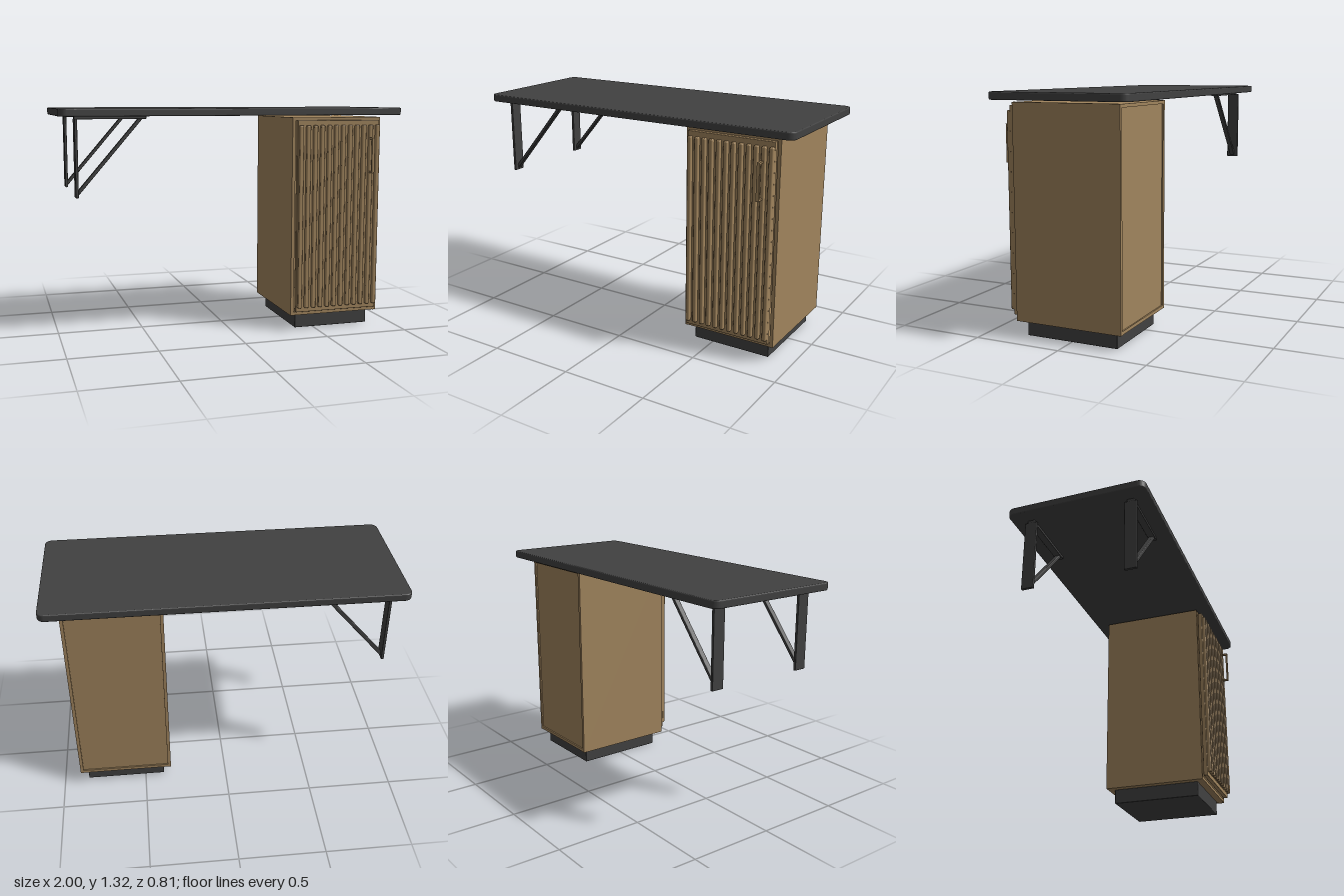
import * as THREE from 'three';
import { RoundedBoxGeometry } from 'three/addons/geometries/RoundedBoxGeometry.js';

export function createModel() {
  const desk = new THREE.Group();
  desk.name = 'desk';
  const dark = new THREE.MeshStandardMaterial({ color: 0x414141 });
  dark.name = 'charcoal';
  const wood = new THREE.MeshStandardMaterial({ color: 0xa0845d });
  wood.name = 'oak';

  const add = (parent, name, geometry, material) => {
    const mesh = new THREE.Mesh(geometry, material);
    mesh.name = name;
    parent.add(mesh);
    return mesh;
  };
  // Box given by its extents along each axis, optionally with rounded edges
  const block = (parent, name, material, [x0, x1], [y0, y1], [z0, z1], radius = 0) => {
    const size = [x1 - x0, y1 - y0, z1 - z0];
    const geometry = radius
      ? new RoundedBoxGeometry(...size, 2, radius)
      : new THREE.BoxGeometry(...size);
    const mesh = add(parent, name, geometry, material);
    mesh.position.set((x0 + x1) / 2, (y0 + y1) / 2, (z0 + z1) / 2);
    return mesh;
  };

  // Tabletop: rounded corners and softened edges
  const bevel = 0.006, w = 1 - bevel, d = 0.403 - bevel, r = 0.035;
  const outline = new THREE.Shape();
  outline.moveTo(-w + r, -d);
  outline.absarc(w - r, -d + r, r, -Math.PI / 2, 0);
  outline.absarc(w - r, d - r, r, 0, Math.PI / 2);
  outline.absarc(-w + r, d - r, r, Math.PI / 2, Math.PI);
  outline.absarc(-w + r, -d + r, r, Math.PI, Math.PI * 1.5);
  const topGeometry = new THREE.ExtrudeGeometry(outline, {
    depth: 0.042 - 2 * bevel, bevelEnabled: true, bevelSize: bevel,
    bevelThickness: bevel, bevelSegments: 3, curveSegments: 8,
  });
  topGeometry.rotateX(-Math.PI / 2);
  add(desk, 'tabletop', topGeometry, dark).position.y = 1.278 + bevel;

  // Cabinet carcass with a recessed back panel, on a set-back plinth
  const cabinet = new THREE.Group();
  cabinet.name = 'cabinet';
  desk.add(cabinet);
  const depth = [-0.312, 0.314];
  block(cabinet, 'plinth', dark, [0.385, 0.853], [0, 0.09], [-0.27, 0.272], 0.004);
  block(cabinet, 'sidePanelRight', wood, [0.341, 0.36], [0.088, 1.265], depth);
  block(cabinet, 'sidePanelLeft', wood, [0.877, 0.896], [0.088, 1.265], depth);
  block(cabinet, 'topPanel', wood, [0.36, 0.877], [1.246, 1.264], depth);
  block(cabinet, 'bottomPanel', wood, [0.36, 0.877], [0.089, 0.108], depth);
  block(cabinet, 'backPanel', wood, [0.36, 0.877], [0.108, 1.246], [-0.304, -0.29]);

  // Fluted door
  const door = new THREE.Group();
  door.name = 'door';
  cabinet.add(door);
  block(door, 'doorPanel', wood, [0.362, 0.875], [0.114, 1.248], [0.317, 0.343], 0.003);
  for (let i = 0; i < 12; i++) {
    const x = 0.381 + i * 0.0437;
    block(door, 'slat', wood, [x - 0.0125, x + 0.0125], [0.14, 1.22], [0.335, 0.364], 0.007);
  }

  // Door handle: upright grip on two short posts
  const handle = new THREE.Group();
  handle.name = 'handle';
  door.add(handle);
  const grip = [0.805, 0.821];
  block(handle, 'handleGrip', wood, grip, [0.938, 1.146], [0.394, 0.405]);
  for (const y of [0.938, 1.136]) {
    block(handle, 'handlePost', wood, grip, [y, y + 0.01], [0.36, 0.396]);
  }

  // Triangular wall brackets, front and back
  for (const side of [1, -1]) {
    const bracket = new THREE.Group();
    bracket.name = side > 0 ? 'frontBracket' : 'backBracket';
    bracket.position.z = side * 0.295;
    desk.add(bracket);
    block(bracket, 'bracketUpright', dark, [-0.912, -0.896], [0.838, 1.265], [-0.036, 0.036], 0.003);
    block(bracket, 'bracketTopBar', dark, [-0.912, -0.518], [1.262, 1.28], [-0.021, 0.021], 0.003);
    const from = new THREE.Vector2(-0.905, 0.852), to = new THREE.Vector2(-0.546, 1.268);
    const brace = add(bracket, 'bracketBrace',
      new RoundedBoxGeometry(from.distanceTo(to), 0.019, 0.03, 2, 0.004), dark);
    brace.position.set((from.x + to.x) / 2, (from.y + to.y) / 2, 0);
    brace.rotation.z = Math.atan2(to.y - from.y, to.x - from.x);
  }
  return desk;
}
